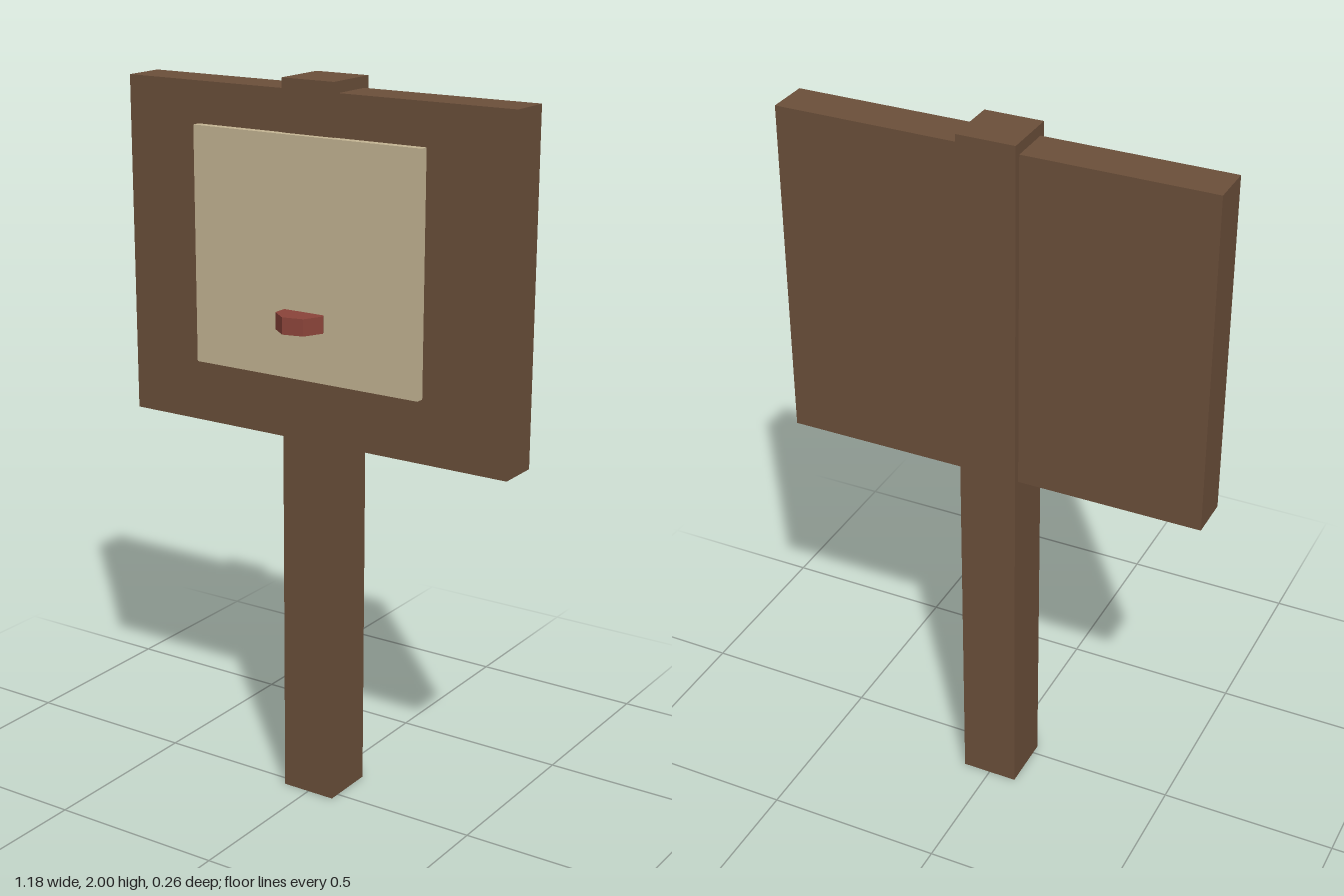
import * as THREE from 'three';

const flat = (name, color) => {
  const m = new THREE.MeshStandardMaterial({ color });
  m.name = name;
  return m;
};

export function createModel() {
  const wood = flat('brown wood', 0x6b4f3a);
  const parchment = flat('parchment', 0xc4b593);
  const wax = flat('red wax', 0x8b443a);

  const model = new THREE.Group();
  model.name = 'noticeBoard';

  const add = (name, geometry, material, x, y, z) => {
    const mesh = new THREE.Mesh(geometry, material);
    mesh.name = name;
    mesh.position.set(x, y, z);
    model.add(mesh);
  };

  // Square post with the board let into it
  add('post', new THREE.BoxGeometry(0.16, 2, 0.16), wood, 0, 1, -0.05);
  add('board', new THREE.BoxGeometry(1.184, 0.935, 0.12), wood, 0, 1.5025, -0.05);

  // Notice sheet on the front
  add('notice', new THREE.BoxGeometry(0.7, 0.645, 0.024), parchment, 0, 1.5375, 0.038);

  // Seven-sided seal standing out of the sheet, one corner towards +x
  const seal = new THREE.CylinderGeometry(0.068, 0.068, 0.046, 7, 1, false, Math.PI / 2).toNonIndexed();
  seal.computeVertexNormals();
  add('seal', seal, wax, 0, 1.378, 0.061);

  return model;
}
